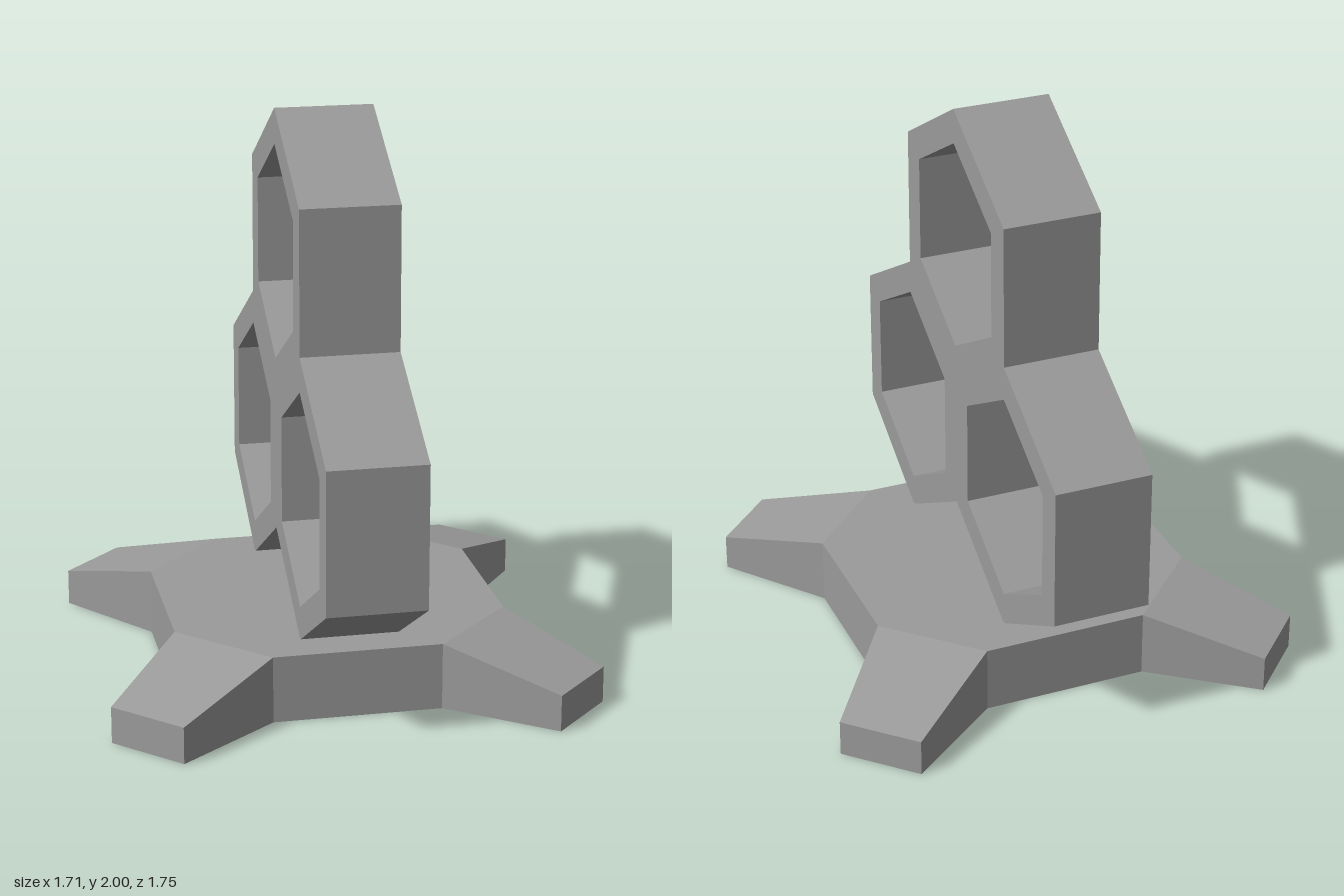
import * as THREE from 'three';

const material = () => new THREE.MeshStandardMaterial({ color: 0x9b9b9b, flatShading: true, side: THREE.DoubleSide });

const RADIUS = 0.505, WIDTH = 0.345;
const APOTHEM = RADIUS * Math.cos(Math.PI / 6);
const TOP = 0.238, LEG_END = 0.13;

// Corner k of a pointy-topped hexagon; k = 0 is the top, counting clockwise
function hexCorner(cx, cy, r, k) {
  const a = Math.PI / 2 - k * Math.PI / 3;
  return new THREE.Vector2(cx + r * Math.cos(a), cy + r * Math.sin(a));
}

// Three joined hexagonal cells, extruded across x
function honeycomb() {
  const upper = [0, 2 - RADIUS];
  const right = [APOTHEM + 0.002, 2 - 2.5 * RADIUS];
  const left = [-right[0], right[1]];
  const walk = (c, corners, r = RADIUS) => corners.map((k) => hexCorner(...c, r, k));
  const outline = new THREE.Shape([
    ...walk(upper, [0, 1]),
    ...walk(right, [0, 1, 2, 3]),
    new THREE.Vector2(0, right[1] - RADIUS / 2),
    ...walk(left, [3, 4, 5, 0]),
    ...walk(upper, [5]),
  ]);
  for (const [c, r] of [[upper, 0.381], [right, 0.384], [left, 0.384]]) {
    outline.holes.push(new THREE.Path(walk(c, [0, 1, 2, 3, 4, 5], r)));
  }
  const geo = new THREE.ExtrudeGeometry(outline, { depth: WIDTH, bevelEnabled: false });
  geo.translate(0, 0, -WIDTH / 2).rotateY(Math.PI / 2);
  const mesh = new THREE.Mesh(geo, material());
  mesh.name = 'honeycombFrame';
  return mesh;
}

// Builds flat-shaded quads from lists of four corners
function quadMesh(quads, name) {
  const pos = [];
  for (const [a, b, c, d] of quads) pos.push(...a, ...b, ...c, ...a, ...c, ...d);
  const geo = new THREE.BufferGeometry();
  geo.setAttribute('position', new THREE.Float32BufferAttribute(pos, 3));
  geo.computeVertexNormals();
  const mesh = new THREE.Mesh(geo, material());
  mesh.name = name;
  return mesh;
}

// Vertical wall under the edge p-q, reaching the ground
const wall = (p, q) => [p, q, [q[0], 0, q[2]], [p[0], 0, p[2]]];

// Hollow base, open underneath: octagonal plate, side walls and four sloping legs
function base() {
  const group = new THREE.Group();
  group.name = 'base';

  const a = 0.295, b = 0.587;
  const octagon = new THREE.Shape(
    [[b, -a], [b, a], [a, b], [-a, b], [-b, a], [-b, -a], [-a, -b], [a, -b]].map((p) => new THREE.Vector2(...p)));
  const plate = new THREE.Mesh(new THREE.ShapeGeometry(octagon).rotateX(-Math.PI / 2).translate(0, TOP, 0), material());
  plate.name = 'basePlate';
  group.add(plate);

  for (let i = 0; i < 4; i++) {
    // Leg towards +x +z, then turned to each corner
    const p = [a, TOP, b], q = [b, TOP, a];
    const pe = [0.642, LEG_END, 0.854], qe = [0.854, LEG_END, 0.642];
    const leg = quadMesh([[p, pe, qe, q], wall(pe, p), wall(qe, pe), wall(q, qe)], 'leg');
    const side = quadMesh([wall(p, [-a, TOP, b])], 'sideWall');
    leg.rotation.y = side.rotation.y = i * Math.PI / 2;
    group.add(leg, side);
  }
  return group;
}

export function createModel() {
  const model = new THREE.Group();
  model.name = 'honeycombStand';
  model.add(honeycomb(), base());
  return model;
}
